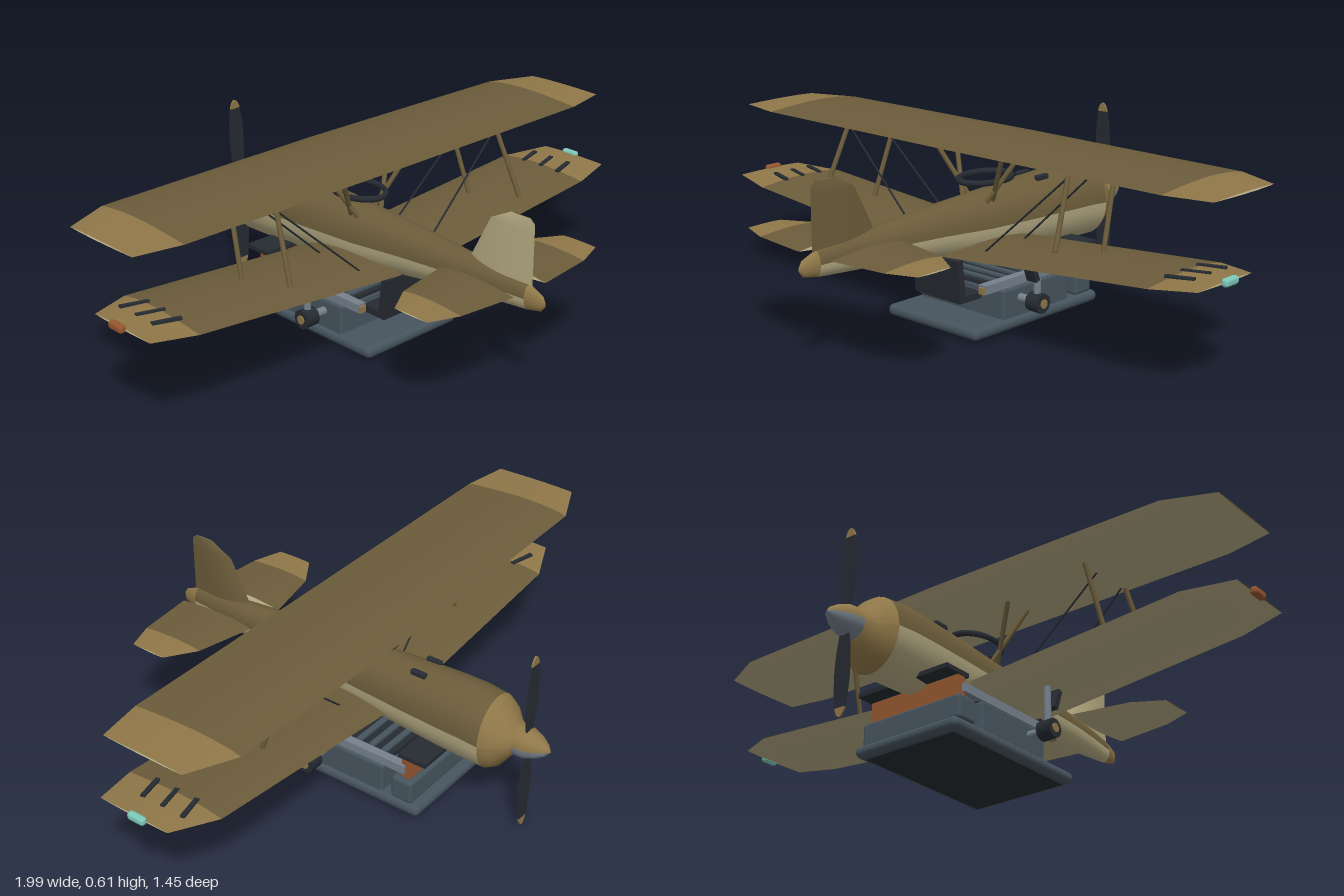
import * as THREE from 'three';
import { RoundedBoxGeometry } from 'three/addons/geometries/RoundedBoxGeometry.js';

const mat = (name, color) => Object.assign(new THREE.MeshStandardMaterial({ color, side: THREE.DoubleSide }), { name });

export function createModel() {
  const M = {
    brown: mat('brown', 0x6b5c3a), cream: mat('cream', 0xb5aa82), tan: mat('tan', 0x8f7748),
    slate: mat('slate', 0x46545e), dark: mat('dark', 0x262b32), steel: mat('steel', 0x76818c),
    copper: mat('copper', 0x94572f), teal: mat('teal', 0x7cc8b8),
  };
  const model = new THREE.Group();
  model.name = 'biplane';

  const add = (name, geo, m, x = 0, y = 0, z = 0, parent = model) => {
    const mesh = new THREE.Mesh(geo, m);
    mesh.name = name;
    mesh.position.set(x, y, z);
    parent.add(mesh);
    return mesh;
  };
  const box = (name, m, w, h, d, x, y, z) => add(name, new THREE.BoxGeometry(w, h, d), m, x, y, z);
  const rounded = (name, m, w, h, d, r, x, y, z) => add(name, new RoundedBoxGeometry(w, h, d, 3, r), m, x, y, z);

  // Round bar between two points
  const rod = (name, m, r, a, b) => {
    const p = new THREE.Vector3(...a), q = new THREE.Vector3(...b);
    const mesh = add(name, new THREE.CylinderGeometry(r, r, p.distanceTo(q), 10), m);
    mesh.position.copy(p).add(q).multiplyScalar(0.5);
    mesh.quaternion.setFromUnitVectors(new THREE.Vector3(0, 1, 0), q.sub(p).normalize());
    return mesh;
  };

  // Skin through equally long rows of points
  const loft = (rows) => {
    const n = rows[0].length, index = [];
    for (let i = 0; i < rows.length - 1; i++) {
      for (let j = 0; j < n - 1; j++) {
        const a = i * n + j, b = a + n;
        index.push(a, b, a + 1, a + 1, b, b + 1);
      }
    }
    const geo = new THREE.BufferGeometry();
    geo.setAttribute('position', new THREE.Float32BufferAttribute(rows.flat(2), 3));
    geo.setIndex(index);
    geo.computeVertexNormals();
    return geo;
  };

  // Body stations: z, top, bottom, half width
  const halfBody = (name, stations, m, lower) => {
    const rows = stations.map(([z, top, bot, w]) => Array.from({ length: 17 }, (_, j) => {
      const a = Math.PI * (j / 16 + (lower ? 1 : 0));
      return [w * Math.cos(a), (top + bot) / 2 + (top - bot) / 2 * Math.sin(a), z];
    }));
    add(name, loft(rows), m);
  };
  const body = (name, stations, upper, lower) => {
    halfBody(name + 'Upper', stations, upper, false);
    halfBody(name + 'Lower', stations, lower, true);
  };

  // Fuselage
  body('fuselage', [
    [0.66, 0.365, 0.285, 0.022], [0.55, 0.38, 0.277, 0.036], [0.43, 0.39, 0.27, 0.049],
    [0.2, 0.408, 0.24, 0.068], [0, 0.418, 0.21, 0.085], [-0.22, 0.43, 0.193, 0.099],
    [-0.36, 0.436, 0.183, 0.106], [-0.456, 0.437, 0.179, 0.108], [-0.53, 0.427, 0.178, 0.107],
  ], M.brown, M.cream);
  body('tailCone', [[0.66, 0.365, 0.285, 0.022], [0.71, 0.345, 0.295, 0.012], [0.725, 0.325, 0.315, 0]], M.tan, M.tan);
  body('cowl', [
    [-0.53, 0.427, 0.178, 0.107], [-0.56, 0.405, 0.195, 0.094], [-0.585, 0.365, 0.23, 0.07],
    [-0.615, 0.345, 0.27, 0.05], [-0.616, 0.307, 0.307, 0],
  ], M.tan, M.tan);

  // Spinner and propeller
  const spin = [[-0.612, 0.05], [-0.645, 0.049], [-0.68, 0.036], [-0.705, 0.02], [-0.722, 0]];
  body('spinner', spin.map(([z, r]) => [z, 0.307 + r, 0.307 - r, r]), M.tan, M.steel);
  const blade = new THREE.Shape();
  blade.moveTo(-0.012, 0.02);
  blade.bezierCurveTo(-0.03, 0.1, -0.034, 0.18, -0.019, 0.275);
  blade.lineTo(0.019, 0.275);
  blade.bezierCurveTo(0.034, 0.18, 0.03, 0.1, 0.012, 0.02);
  const tip = new THREE.Shape();
  tip.moveTo(-0.019, 0.275);
  tip.quadraticCurveTo(-0.012, 0.302, 0, 0.304);
  tip.quadraticCurveTo(0.012, 0.302, 0.019, 0.275);
  const flat = { depth: 0.006, bevelEnabled: false };
  for (const turn of [0.03, Math.PI + 0.03]) {
    add('propellerBlade', new THREE.ExtrudeGeometry(blade, flat), M.dark, 0, 0.307, -0.646).rotation.z = turn;
    add('propellerTip', new THREE.ExtrudeGeometry(tip, flat), M.tan, 0, 0.307, -0.646).rotation.z = turn;
  }

  // Lens-shaped wing panel; sections: span, leading z, trailing z, height, half thickness
  const skin = (name, sections, m, sign, side, upright) => add(name, loft(sections.map(([s, lead, trail, y, t]) =>
    Array.from({ length: 15 }, (_, j) => {
      const u = j / 14, h = sign * t * Math.sin(Math.PI * Math.pow(u, 0.8)), z = lead + (trail - lead) * u;
      return upright ? [h, s, z] : [side * s, y + h, z];
    }))), m);
  const wing = (name, sections, tipFrom) => {
    for (const side of [1, -1]) {
      skin(name + 'Top', sections.slice(0, tipFrom + 1), M.brown, 1, side);
      skin(name + 'TipTop', sections.slice(tipFrom), M.tan, 1, side);
      skin(name + 'Underside', sections, M.cream, -1, side);
    }
  };
  wing('upperWing', [
    [0, -0.268, 0.135, 0.576, 0.019], [0.83, -0.25, 0.135, 0.578, 0.014], [0.985, -0.18, 0.108, 0.58, 0.003],
  ], 1);
  wing('lowerWing', [
    [0.05, -0.18, 0.195, 0.256, 0.022], [0.83, -0.165, 0.185, 0.322, 0.014], [0.978, -0.1, 0.155, 0.337, 0.003],
  ], 1);
  wing('tailplane', [
    [0.07, 0.375, 0.665, 0.348, 0.012], [0.27, 0.418, 0.645, 0.35, 0.008], [0.37, 0.482, 0.61, 0.352, 0.002],
  ], 1);

  // Fin
  const fin = [
    [0.34, 0.41, 0.673, 0, 0.017], [0.39, 0.435, 0.673, 0, 0.017], [0.53, 0.507, 0.673, 0, 0.012],
    [0.555, 0.555, 0.673, 0, 0.007], [0.57, 0.584, 0.655, 0, 0.002],
  ];
  skin('finLeft', fin, M.brown, 1, 1, true);
  skin('finRight', fin, M.cream, -1, 1, true);

  // Struts, wires, wing slots, tip lamps
  for (const s of [1, -1]) {
    rod('interplaneStrut', M.brown, 0.008, [s * 0.475, 0.57, 0.105], [s * 0.5, 0.36, 0.188]);
    rod('interplaneStrut', M.brown, 0.008, [s * 0.475, 0.57, -0.115], [s * 0.5, 0.3, -0.03]);
    rod('cabaneStrut', M.brown, 0.008, [s * 0.15, 0.57, 0.03], [s * 0.05, 0.39, -0.03]);
    rod('cabaneStrut', M.brown, 0.008, [s * 0.15, 0.57, -0.07], [s * 0.05, 0.39, 0.0]);
    rod('braceWire', M.dark, 0.003, [s * 0.47, 0.565, 0.09], [s * 0.14, 0.265, 0.11]);
    rod('braceWire', M.dark, 0.003, [s * 0.47, 0.565, -0.04], [s * 0.14, 0.265, -0.06]);
    for (const z of [-0.075, 0, 0.075]) {
      const slot = box('wingSlot', M.dark, 0.09, 0.008, 0.014, s * 0.86, 0.337, z);
      slot.rotation.set(0, s * 0.25, s * 0.04);
    }
    rounded('tipLamp', s > 0 ? M.teal : M.copper, 0.024, 0.026, 0.062, 0.01, s * 0.982, 0.338, 0.01);
    rounded('noseBar', M.dark, 0.018, 0.018, 0.055, 0.005, s * 0.042, 0.425, -0.272);
  }

  // Cockpit ring
  const ring = add('cockpitRing', new THREE.TorusGeometry(0.1, 0.01, 10, 36), M.dark, 0, 0.457, -0.05);
  ring.rotation.x = Math.PI / 2;
  ring.scale.x = 0.72;

  // Base machine
  rounded('baseSlab', M.slate, 0.394, 0.038, 0.583, 0.018, 0, 0.031, -0.092);
  box('basePlate', M.dark, 0.34, 0.006, 0.53, 0, 0.011, -0.092);
  rounded('machineBody', M.slate, 0.37, 0.105, 0.306, 0.01, 0, 0.093, -0.091);
  box('machineLid', M.dark, 0.34, 0.012, 0.3, 0, 0.149, -0.091);
  for (let i = 0; i < 6; i++) box('lidRib', M.slate, 0.26, 0.012, 0.02, 0, 0.156, -0.21 + i * 0.048);
  rounded('frontBlock', M.slate, 0.38, 0.08, 0.078, 0.012, 0, 0.09, -0.317);
  box('copperBar', M.copper, 0.34, 0.075, 0.032, 0, 0.164, -0.322);
  box('frontPlate', M.dark, 0.35, 0.014, 0.1, 0, 0.207, -0.345);

  // Rear panel and shelf
  box('rearPanel', M.dark, 0.2, 0.14, 0.024, 0, 0.178, 0.16).rotation.x = 0.12;
  box('rearShelf', M.dark, 0.18, 0.022, 0.1, 0, 0.112, 0.108);

  // Side rails, hubs and levers
  for (const s of [1, -1]) {
    box('sideRail', M.steel, 0.03, 0.028, 0.455, s * 0.165, 0.162, -0.092);
    box('railEnd', M.tan, 0.024, 0.022, 0.008, s * 0.165, 0.158, 0.138);
    rod('axle', M.steel, 0.014, [s * 0.17, 0.107, -0.015], [s * 0.25, 0.107, -0.015]);
    rod('hub', M.dark, 0.032, [s * 0.232, 0.107, -0.015], [s * 0.282, 0.107, -0.015]);
    rod('hubCap', M.tan, 0.015, [s * 0.28, 0.107, -0.015], [s * 0.286, 0.107, -0.015]);
    rod('lever', M.steel, 0.012, [s * 0.255, 0.13, -0.015], [s * 0.255, 0.25, -0.015]);
    box('leverGrip', M.dark, 0.04, 0.07, 0.018, s * 0.255, 0.215, 0.015).rotation.x = 0.35;
  }
  return model;
}
